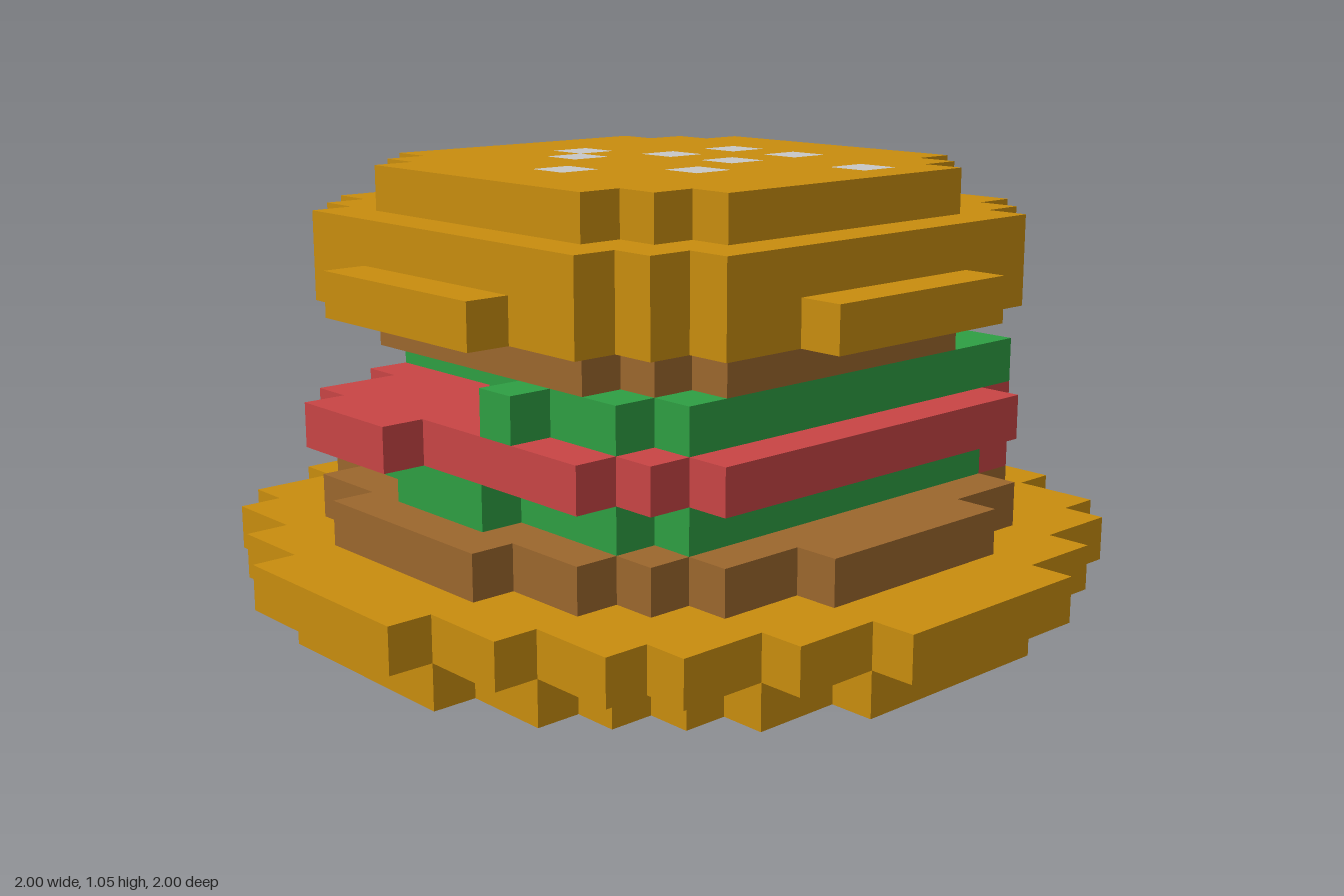
import * as THREE from 'three';
import { mergeGeometries } from 'three/addons/utils/BufferGeometryUtils.js';

const U = 2 / 19; // size of one block

const mat = (name, color) => Object.assign(new THREE.MeshStandardMaterial({ color }), { name });

// Symmetric disc: half widths for rows 0, 1, 2 ... away from the middle
function disc(half) {
  const rows = [];
  half.forEach((h, z) => {
    rows.push([z, -h, h]);
    if (z > 0) rows.push([-z, -h, h]);
  });
  return rows;
}

// Irregular slice: rows of [z, first x, last x]
const lowerLettuce = [
  [6, -1, 1], [5, -3, 4], [4, -4, 5], [3, -4, 5], [2, -4, 5], [1, -4, 5], [0, -5, 5], [-1, -5, 5],
  [-2, -3, 5], [-3, -3, 5], [-4, -4, 5], [-5, -4, 4], [-6, -4, 2],
];
const tomato = [
  [7, -3, -1], [6, -4, 4], [5, -4, 5], [4, -5, 6], [3, -5, 6], [2, -5, 6], [1, -5, 6], [0, -5, 6], [-1, -5, 6],
  [-2, -3, 6], [-3, -2, 6], [-4, -3, 6], [-5, -2, 5], [-6, -2, 2],
];
const upperLettuce = [
  [6, 2, 2], [5, 1, 4], [4, 0, 5], [3, -5, 5], [2, -5, 5], [1, -5, 5], [0, -5, 5], [-1, -5, 5],
  [-2, -4, 5], [-3, -4, 5], [-4, -2, 5], [-5, 1, 5],
];
const seedSpots = [[-1, -3], [1, -3], [4, -2], [-1, -1], [1, -1], [-3, 0], [-2, 1], [2, 1], [0, 3]];

const disc15 = disc([7, 7, 7, 6, 6, 5, 4, 2]);
const disc11 = disc([5, 5, 5, 5, 4, 3]);

export function createModel() {
  const bun = mat('bun', 0xc98d0e);
  const meat = mat('meat', 0x9c672d);
  const green = mat('lettuce', 0x2e9f43);
  const red = mat('tomato', 0xc94545);
  const seed = mat('seed', 0xc8c8c8);

  // Fill the block grid; later entries overwrite earlier ones
  const cells = new Map();
  const key = (x, y, z) => `${x},${y},${z}`;
  const fill = (part, y, rows) => {
    for (const [z, x0, x1] of rows)
      for (let x = x0; x <= x1; x++) cells.set(key(x, y, z), { part, x, y, z });
  };
  fill('bottomBun', 0, disc([8, 8, 8, 7, 7, 6, 5, 4, 2]));
  fill('bottomBun', 1, disc([9, 9, 9, 8, 8, 7, 7, 6, 4, 2]));
  fill('lowerPatty', 2, disc15);
  fill('lowerLettuce', 3, lowerLettuce);
  fill('tomatoSlice', 3, [[-5, 5, 5]]); // drooping corner
  fill('tomatoSlice', 4, tomato);
  fill('upperLettuce', 5, upperLettuce);
  fill('upperPatty', 6, disc11);
  fill('topBun', 7, disc15);
  fill('topBun', 8, disc([6, 6, 6, 6, 6, 5, 4]));
  fill('topBun', 9, disc11);
  fill('seeds', 9, seedSpots.map(([x, z]) => [z, x, x]));

  // One square per block side
  const sides = [
    [1, 0, 0], [-1, 0, 0], [0, 1, 0], [0, -1, 0], [0, 0, 1], [0, 0, -1],
  ].map((dir) => {
    const square = new THREE.PlaneGeometry(U, U);
    const n = new THREE.Vector3(...dir);
    square.applyQuaternion(new THREE.Quaternion().setFromUnitVectors(
      new THREE.Vector3(0, 0, 1), n));
    square.translate(n.x * U / 2, n.y * U / 2, n.z * U / 2);
    return { dir, square };
  });

  // Keep only the sides that touch air
  const faces = {};
  for (const { part, x, y, z } of cells.values())
    for (const { dir, square } of sides) {
      if (cells.has(key(x + dir[0], y + dir[1], z + dir[2]))) continue;
      (faces[part] ??= []).push(square.clone().translate(x * U, (y + 0.5) * U, z * U));
    }

  const materials = {
    bottomBun: bun, lowerPatty: meat, lowerLettuce: green, tomatoSlice: red,
    upperLettuce: green, upperPatty: meat, topBun: bun, seeds: seed,
  };
  const group = new THREE.Group();
  group.name = 'burger';
  for (const [part, list] of Object.entries(faces)) {
    const mesh = new THREE.Mesh(mergeGeometries(list), materials[part]);
    mesh.name = part;
    group.add(mesh);
  }
  return group;
}
